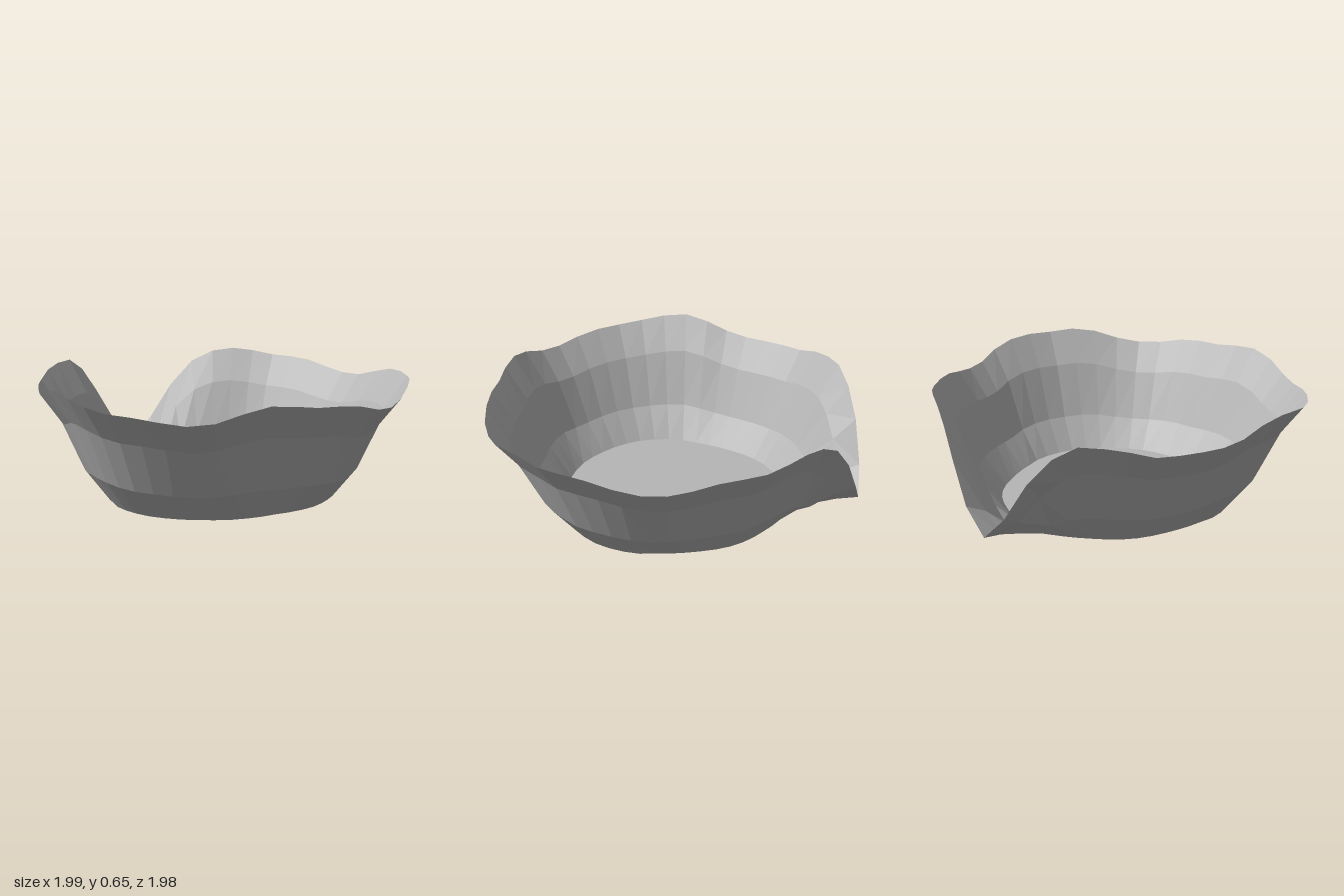
import * as THREE from 'three';

// Angles are in degrees from the front (+z); positive angles turn towards +x.
// Rim radius [angle, radius], mirrored left to right.
const RIM_RADIUS = [
  [0, 0.985], [13, 1.007], [23, 1.026], [35, 1.028], [45, 1.04], [59, 1.047], [71, 1.03],
  [82, 1.004], [89, 0.968], [102, 0.94], [115, 0.935], [125, 0.949], [138, 0.95],
  [148, 0.943], [157, 0.954], [165, 0.972], [172.5, 0.988], [180, 0.99],
];
// Wavy rim height [angle, height], dropping to a breach at the back.
const RIM_HEIGHT = [
  [-180, 0.09], [-172.5, 0.22], [-165, 0.43], [-157, 0.58], [-149, 0.65], [-137, 0.63],
  [-128, 0.585], [-115, 0.575], [-103, 0.57], [-98, 0.585], [-88, 0.64], [-81, 0.655],
  [-73, 0.63], [-65, 0.6], [-59, 0.59], [-50, 0.585], [-45, 0.57], [-36, 0.55], [-29, 0.57],
  [-23, 0.61], [-15, 0.64], [-8, 0.63], [0, 0.61], [8, 0.605], [15, 0.59], [21, 0.56],
  [29, 0.545], [37, 0.565], [45, 0.61], [52, 0.63], [59, 0.62], [71, 0.63], [79, 0.61],
  [88, 0.555], [96, 0.545], [105, 0.57], [114.5, 0.605], [129, 0.61], [140, 0.645],
  [149, 0.63], [157, 0.57], [165, 0.42], [172.5, 0.22], [180, 0.09],
];
// Wall rings from floor to rim: [share of rim radius, share of rim height].
const RINGS = [[0.63, 0], [0.755, 0.265], [0.878, 0.72], [1, 1]];
const SEGMENTS = 48;

function sample(table, angle) {
  const i = Math.max(1, table.findIndex(([a]) => a >= angle));
  const [a0, v0] = table[i - 1];
  const [a1, v1] = table[i];
  return THREE.MathUtils.mapLinear(angle, a0, a1, v0, v1);
}

function ringPoint([radiusShare, heightShare], segment) {
  const angle = -180 + (segment * 360) / SEGMENTS;
  const r = sample(RIM_RADIUS, Math.abs(angle)) * radiusShare;
  const t = THREE.MathUtils.degToRad(angle);
  return [Math.sin(t) * r, sample(RIM_HEIGHT, angle) * heightShare, Math.cos(t) * r];
}

function buildGeometry(positions, indices) {
  const geometry = new THREE.BufferGeometry();
  geometry.setAttribute('position', new THREE.Float32BufferAttribute(positions, 3));
  geometry.setIndex(indices);
  const flat = geometry.toNonIndexed();
  flat.computeVertexNormals();
  return flat;
}

export function createModel() {
  const group = new THREE.Group();
  group.name = 'breachedBowl';
  const grey = new THREE.MeshStandardMaterial({
    name: 'grey', color: 0xb6b6b6, flatShading: true, side: THREE.DoubleSide,
  });

  // Flared wall, lofted through the rings
  const positions = [];
  const indices = [];
  const row = SEGMENTS + 1;
  RINGS.forEach((ring, j) => {
    for (let i = 0; i < row; i++) {
      positions.push(...ringPoint(ring, i));
      if (j > 0 && i > 0) {
        const a = (j - 1) * row + i - 1;
        indices.push(a, a + 1, a + row, a + 1, a + row + 1, a + row);
      }
    }
  });
  const wall = new THREE.Mesh(buildGeometry(positions, indices), grey);
  wall.name = 'wall';

  // Flat floor, fanned from the centre
  const floorPositions = [0, 0, 0];
  const floorIndices = [];
  for (let i = 0; i < row; i++) {
    floorPositions.push(...ringPoint(RINGS[0], i));
    if (i > 0) floorIndices.push(0, i, i + 1);
  }
  const floor = new THREE.Mesh(buildGeometry(floorPositions, floorIndices), grey);
  floor.name = 'floor';

  group.add(wall, floor);
  return group;
}
